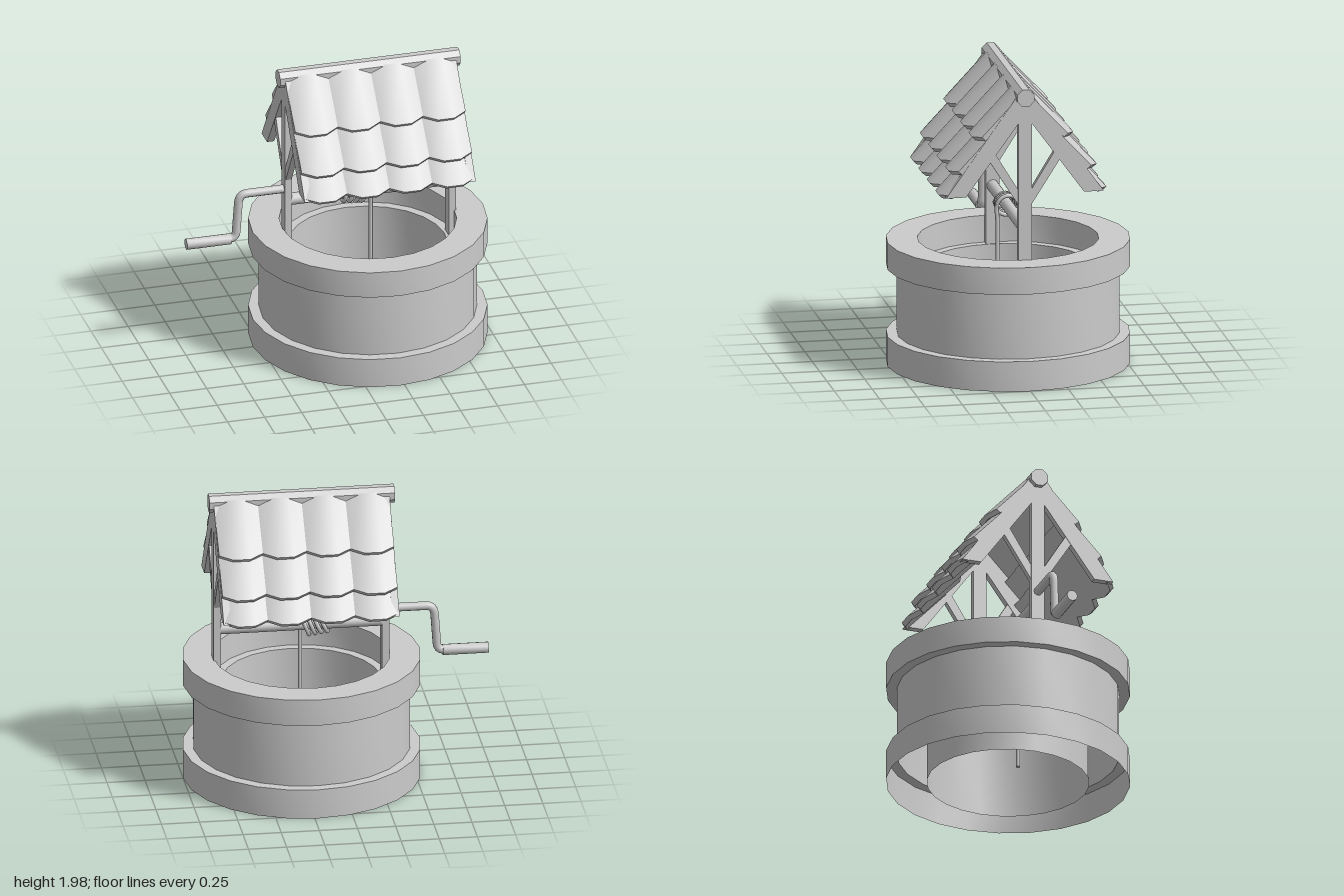
import * as THREE from 'three';
import { toCreasedNormals } from 'three/addons/utils/BufferGeometryUtils.js';

const material = new THREE.MeshStandardMaterial({ color: 0xcccccc });
const shellMaterial = new THREE.MeshStandardMaterial({ color: 0xcccccc, side: THREE.DoubleSide });

const WELL_X = 0.225; // centre of the stone rings
const ROOF_X = 0.231; // centre between the posts
const POST_OFFSET = 0.552;
const POST_WIDTH = 0.048;

function add(parent, name, geometry, x = 0, y = 0, z = 0, mat = material) {
  const mesh = new THREE.Mesh(geometry, mat);
  mesh.name = name;
  mesh.position.set(x, y, z);
  parent.add(mesh);
  return mesh;
}

// Plank outline given as [z, y], with its thickness along x
function plank(outline, thickness) {
  const shape = new THREE.Shape(outline.map(([z, y]) => new THREE.Vector2(z, y)));
  const geometry = new THREE.ExtrudeGeometry(shape, { depth: thickness, bevelEnabled: false });
  return geometry.translate(0, 0, -thickness / 2).rotateY(-Math.PI / 2);
}

// Cylinder lying along x
function rod(radius, length, sides) {
  return new THREE.CylinderGeometry(radius, radius, length, sides).rotateZ(Math.PI / 2);
}

// Bulged tile: origin at the middle of its lower top edge, length along -z
function tileGeometry(width, thickness, length) {
  const geometry = new THREE.BoxGeometry(width, thickness, length, 3, 1, 1);
  geometry.translate(0, -thickness / 2, -length / 2);
  const p = geometry.attributes.position;
  for (let i = 0; i < p.count; i++) {
    const x = p.getX(i);
    if (Math.abs(x) > width * 0.4) {
      p.setY(i, p.getY(i) - 0.027);
      if (p.getZ(i) > -0.01) p.setZ(i, -0.046);
    } else {
      p.setX(i, Math.sign(x) * 0.055);
    }
  }
  geometry.computeVertexNormals();
  return geometry;
}

// Stepped stone rings around an open shaft, hollow underneath
function buildWell() {
  const well = new THREE.Group();
  well.name = 'well';
  well.position.x = WELL_X;
  const profile = [
    [0.795, 0], [0.795, 0.2], [0.725, 0.2], [0.725, 0.65], [0.795, 0.65],
    [0.795, 0.83], [0.59, 0.83], [0.59, 0.65], [0.53, 0.65], [0.53, 0],
  ].map(([r, y]) => new THREE.Vector2(r, y));
  const rings = new THREE.LatheGeometry(profile, 24).scale(0.975, 1, 1);
  add(well, 'stoneRings', toCreasedNormals(rings, 0.6), 0, 0, 0, shellMaterial);
  return well;
}

// One slope of the roof with its rafters and braces
function buildRoofSide(name) {
  const side = new THREE.Group();
  side.name = name;
  const slope = 0.815;
  const tileWidth = 0.2868;
  const tile = tileGeometry(tileWidth, 0.035, 0.415);
  const tips = [[0.335, 1.652], [0.49, 1.43], [0.555, 1.273]];
  tips.forEach(([z, y], row) => {
    for (let i = 0; i < 4; i++) {
      const mesh = add(side, `tileRow${row + 1}`, tile, (i - 1.5) * tileWidth, y, z);
      mesh.rotation.x = slope;
    }
  });
  const rafter = plank([[0.39, 1.27], [0.52, 1.27], [0.02, 1.975], [0.02, 1.78]], POST_WIDTH);
  const brace = plank([[0.03, 1.18], [0.24, 1.51], [0.195, 1.55], [0.03, 1.28]], 0.04);
  for (const s of [-1, 1]) {
    add(side, 'rafter', rafter, s * POST_OFFSET);
    add(side, 'brace', brace, s * POST_OFFSET);
  }
  return side;
}

function buildRoof() {
  const roof = new THREE.Group();
  roof.name = 'roof';
  roof.position.x = ROOF_X;
  const post = new THREE.BoxGeometry(POST_WIDTH, 1.25, 0.09);
  for (const s of [-1, 1]) add(roof, 'post', post, s * POST_OFFSET, 1.275, 0);
  const front = buildRoofSide('frontRoof');
  const back = buildRoofSide('backRoof');
  back.rotation.y = Math.PI;
  roof.add(front, back);
  const ridge = new THREE.CylinderGeometry(0.061, 0.061, 1.215, 8, 1);
  ridge.rotateY(Math.PI / 8).rotateZ(Math.PI / 2);
  add(roof, 'ridgeBeam', toCreasedNormals(ridge, 0.5), -0.004, 1.923, 0);
  return roof;
}

function buildWinch() {
  const winch = new THREE.Group();
  winch.name = 'winch';
  add(winch, 'axle', rod(0.04, 1.08, 12), ROOF_X, 1.04, 0);

  // Rope wound round the axle, then hanging into the well
  const points = [new THREE.Vector3(0.06, 1.035, 0.02)];
  const turns = 4;
  const steps = turns * 12;
  for (let i = 0; i <= steps; i++) {
    const angle = (i / 12) * Math.PI * 2 + Math.PI / 2;
    const r = 0.056 + 0.018 * (i / steps);
    points.push(new THREE.Vector3(
      0.065 + 0.16 * (i / steps) + 0.02 * Math.cos(angle),
      1.04 + r * Math.cos(angle), r * Math.sin(angle)));
  }
  points.push(new THREE.Vector3(WELL_X, 0.95, 0.07));
  const coil = new THREE.CatmullRomCurve3(points);
  add(winch, 'ropeCoil', new THREE.TubeGeometry(coil, 160, 0.014, 8));
  add(winch, 'rope', new THREE.CylinderGeometry(0.014, 0.014, 0.835, 8), WELL_X, 0.5425, 0.07);

  // Crank: straight runs joined by rounded bends
  const v = (x, y) => new THREE.Vector3(x, y, 0);
  const crank = new THREE.CurvePath();
  crank.add(new THREE.LineCurve3(v(-0.3, 1.12), v(-0.59, 1.12)));
  crank.add(new THREE.QuadraticBezierCurve3(v(-0.59, 1.12), v(-0.642, 1.12), v(-0.647, 1.06)));
  crank.add(new THREE.LineCurve3(v(-0.647, 1.06), v(-0.662, 0.85)));
  crank.add(new THREE.QuadraticBezierCurve3(v(-0.662, 0.85), v(-0.665, 0.805), v(-0.72, 0.805)));
  add(winch, 'crank', new THREE.TubeGeometry(crank, 40, 0.028, 10));
  add(winch, 'handle', toCreasedNormals(rod(0.036, 0.3, 12), 0.7), -0.85, 0.805, 0);
  return winch;
}

export function createModel() {
  const model = new THREE.Group();
  model.name = 'wishingWell';
  model.add(buildWell(), buildRoof(), buildWinch());
  return model;
}
